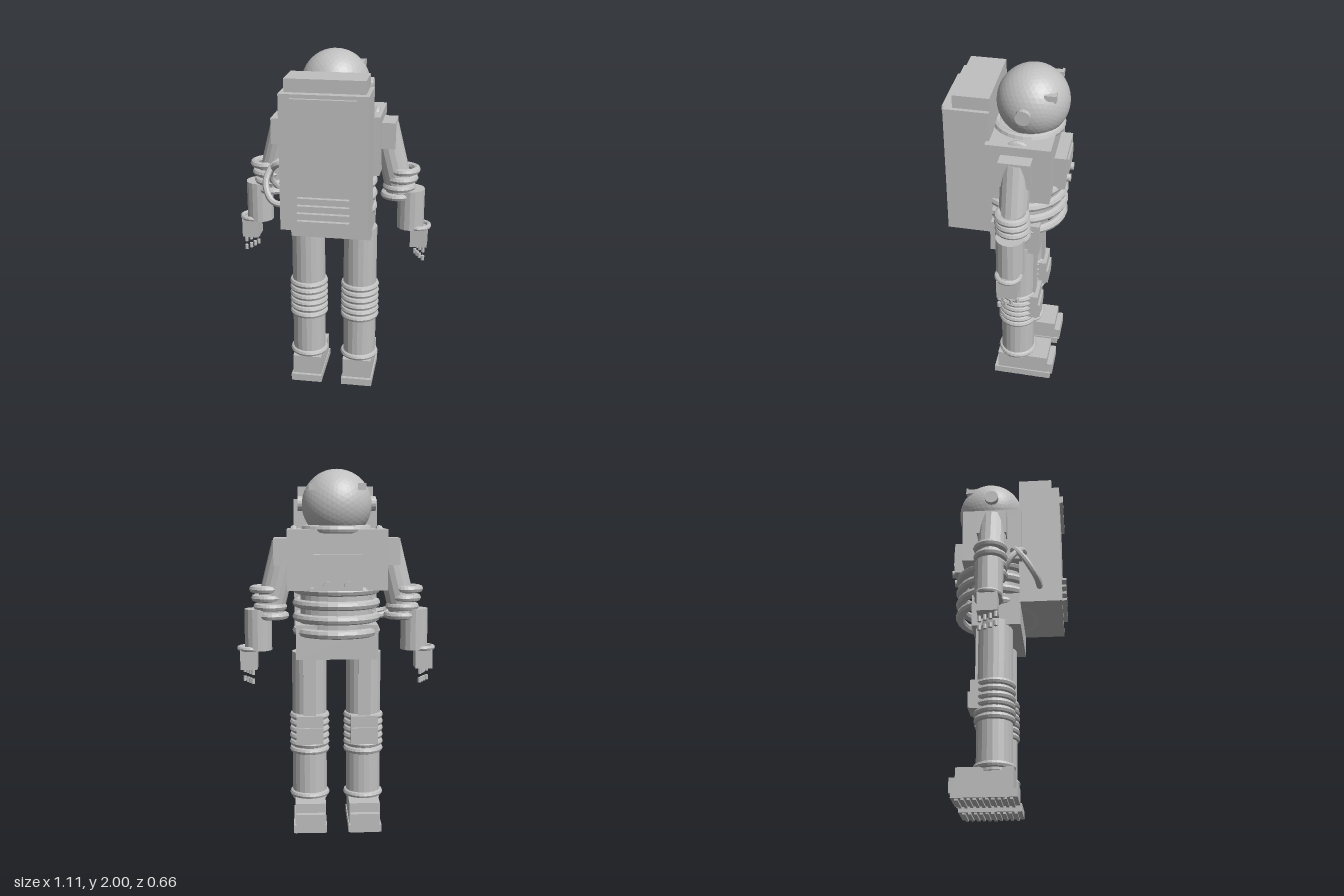
import * as THREE from 'three';

const grey = new THREE.MeshStandardMaterial({ color: 0xc0c0c0, flatShading: true });

export function createModel() {
  const model = new THREE.Group();
  model.name = 'spacesuit';

  const add = (name, geometry, x, y, z, parent = model) => {
    const m = new THREE.Mesh(geometry, grey);
    m.name = name;
    m.position.set(x, y, z);
    parent.add(m);
    return m;
  };
  // box given by its limits on each axis
  const box = (name, x0, x1, y0, y1, z0, z1, parent) =>
    add(name, new THREE.BoxGeometry(x1 - x0, y1 - y0, z1 - z0),
      (x0 + x1) / 2, (y0 + y1) / 2, (z0 + z1) / 2, parent);
  // horizontal ring
  const ring = (name, R, r, x, y, z, parent) =>
    add(name, new THREE.TorusGeometry(R, r, 8, 28).rotateX(Math.PI / 2), x, y, z, parent);
  // round limb between two points
  const limb = (name, r, a, b, parent, sides = 16) => {
    const p = new THREE.Vector3(...a), q = new THREE.Vector3(...b);
    const m = add(name, new THREE.CylinderGeometry(r, r, p.distanceTo(q), sides), 0, 0, 0, parent);
    m.position.copy(p).lerp(q, 0.5);
    m.quaternion.setFromUnitVectors(new THREE.Vector3(0, 1, 0), q.sub(p).normalize());
    return m;
  };

  // helmet and collar
  add('helmet', new THREE.IcosahedronGeometry(0.19, 7), 0, 1.81, -0.115);
  ring('collar', 0.17, 0.022, 0, 1.68, -0.095);

  // torso, waist and pelvis
  box('chest', -0.27, 0.27, 1.355, 1.68, -0.25, 0.087);
  const waist = add('waist', new THREE.CylinderGeometry(0.2, 0.2, 0.25, 24), 0, 1.24, -0.07);
  waist.scale.z = 0.75;
  for (let i = 0; i < 4; i++) ring('waistRing', 0.22, 0.025, 0, 1.12 + i * 0.077, -0.07);
  box('pelvis', -0.225, 0.225, 0.97, 1.16, -0.195, 0.075);

  // chest control panel
  box('controlPanel', -0.13, 0.13, 1.36, 1.55, -0.312, -0.245);
  box('panelScreen', -0.085, 0.085, 1.43, 1.52, -0.322, -0.31);
  for (const x of [-0.055, 0.055]) limb('knob', 0.022, [x, 1.388, -0.31], [x, 1.388, -0.333], model);

  // backpack
  box('backpack', -0.235, 0.235, 1.1, 1.84, 0.07, 0.305);
  box('backpackTop', -0.213, 0.213, 1.84, 1.91, 0.07, 0.26);
  box('backpackStrip', -0.173, 0.173, 1.775, 1.82, 0.3, 0.325);
  for (let i = 0; i < 4; i++) {
    const y = 1.155 + i * 0.043;
    box('vent', -0.14, 0.14, y - 0.007, y + 0.007, 0.3, 0.33);
  }

  // hoses between backpack and torso
  const hoses = [
    [[-0.22, 1.19, 0.185], [-0.31, 1.21, 0.17], [-0.355, 1.3, 0.11], [-0.31, 1.39, 0.05], [-0.2, 1.415, 0.03]],
    [[-0.22, 1.41, 0.1], [-0.3, 1.39, 0.085], [-0.35, 1.3, 0.02], [-0.29, 1.21, -0.03], [-0.19, 1.19, -0.06]],
  ];
  for (const pts of hoses) {
    const path = new THREE.CatmullRomCurve3(pts.map((p) => new THREE.Vector3(...p)));
    add('hose', new THREE.TubeGeometry(path, 32, 0.018, 8), 0, 0, 0);
  }

  // paired parts, s = +1 and -1
  for (const s of [1, -1]) {
    const side = s > 0 ? 'left' : 'right';
    const sbox = (name, x0, x1, ...rest) => box(name, Math.min(s * x0, s * x1), Math.max(s * x0, s * x1), ...rest);

    // helmet fittings
    limb('earDisc', 0.04, [s * 0.16, 1.815, -0.095], [s * 0.212, 1.815, -0.095], model);
    sbox('helmetLamp', 0.112, 0.146, 1.888, 1.918, -0.24, -0.19);
    sbox('lampRim', 0.106, 0.152, 1.884, 1.922, -0.252, -0.24);
    add('shoulderLoop', new THREE.TorusGeometry(0.055, 0.02, 8, 24).rotateY(Math.PI / 2), s * 0.235, 1.625, -0.075);

    // arm
    const arm = new THREE.Group();
    arm.name = side + 'Arm';
    model.add(arm);
    sbox('shoulderPad', 0.25, 0.345, 1.485, 1.63, -0.16, 0.006, arm);
    limb('upperArm', 0.078, [s * 0.278, 1.6, -0.077], [s * 0.372, 1.22, -0.077], arm);
    for (let i = 0; i < 4; i++) ring('elbowRing', 0.073, 0.021, s * (0.389 - i * 0.011), 1.35 - i * 0.049, -0.077, arm);
    limb('forearm', 0.076, [s * 0.435, 1.01, -0.077], [s * 0.435, 1.24, -0.077], arm);
    ring('wristRing', 0.061, 0.014, s * 0.48, 1.02, -0.077, arm);
    sbox('hand', 0.44, 0.535, 0.905, 1.015, -0.13, -0.022, arm);
    [0.515, 0.495, 0.48, 0.465].forEach((x, i) => {
      const z = -0.032 - i * 0.03;
      limb('fingerBase', 0.01, [s * x, 0.875, z], [s * x, 0.906, z], arm, 8);
      limb('fingerTip', 0.01, [s * x, 0.825, z], [s * x, 0.852, z], arm, 8);
    });

    // leg
    const leg = new THREE.Group();
    leg.name = side + 'Leg';
    model.add(leg);
    limb('legTube', 0.097, [s * 0.152, 0.15, -0.07], [s * 0.152, 1.0, -0.07], leg, 20);
    sbox('thighPlate', 0.117, 0.187, 0.64, 0.99, -0.174, -0.15, leg);
    for (let i = 0; i < 6; i++) ring('kneeRing', 0.094, 0.019, s * 0.152, 0.44 + i * 0.039, -0.07, leg);
    sbox('kneePad', 0.077, 0.227, 0.49, 0.65, -0.195, -0.13, leg);
    sbox('kneePadLower', 0.082, 0.222, 0.495, 0.585, -0.207, -0.19, leg);
    ring('ankleRing', 0.095, 0.018, s * 0.152, 0.182, -0.07, leg);

    // boot with toe cap, sole and treads
    sbox('boot', 0.065, 0.235, 0.04, 0.17, -0.262, 0.037, leg);
    sbox('toeCap', 0.07, 0.23, 0.04, 0.118, -0.295, -0.25, leg);
    sbox('sole', 0.06, 0.243, 0.01, 0.053, -0.283, 0.057, leg);
    for (let i = 0; i < 10; i++) {
      const z = -0.262 + i * 0.031;
      sbox('tread', 0.068, 0.235, 0, 0.012, z, z + 0.016, leg);
    }
  }
  return model;
}
